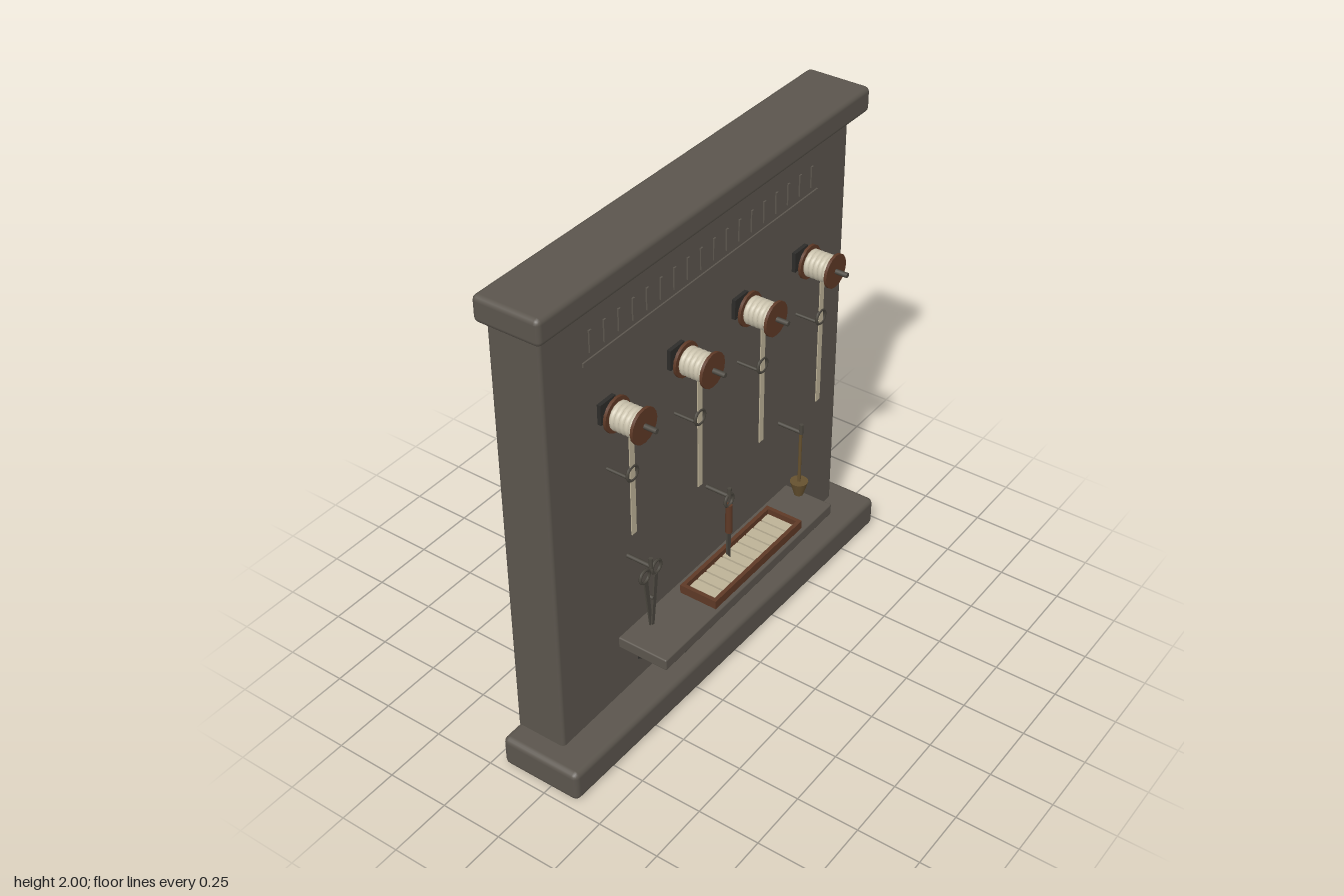
import * as THREE from 'three';
import { RoundedBoxGeometry } from 'three/addons/geometries/RoundedBoxGeometry.js';

const mat = (name, color, side = THREE.FrontSide) => {
  const m = new THREE.MeshStandardMaterial({ color, side });
  m.name = name;
  return m;
};

export function createModel() {
  const stone = mat('stone', 0x5b554d);
  const darkIron = mat('dark iron', 0x2d2c2a);
  const iron = mat('iron', 0x4a463e);
  const wood = mat('wood', 0x5e3926);
  const linen = mat('linen', 0xbdb297);
  const wool = mat('wool', 0xccc4ae);
  const bronze = mat('bronze', 0x66512f);

  const model = new THREE.Group();
  model.name = 'weaverWall';

  const add = (name, geo, material, parent = model, x = 0, y = 0, z = 0) => {
    const mesh = new THREE.Mesh(geo, material);
    mesh.name = name;
    mesh.position.set(x, y, z);
    parent.add(mesh);
    return mesh;
  };
  const group = (name, x, y, z = 0) => {
    const g = new THREE.Group();
    g.name = name;
    g.position.set(x, y, z);
    model.add(g);
    return g;
  };
  // boxes are given by their limits on each axis
  const box = (name, material, x0, x1, y0, y1, z0, z1, parent = model, round = 0) => {
    const s = [x1 - x0, y1 - y0, z1 - z0];
    const geo = round ? new RoundedBoxGeometry(...s, 2, round) : new THREE.BoxGeometry(...s);
    return add(name, geo, material, parent, (x0 + x1) / 2, (y0 + y1) / 2, (z0 + z1) / 2);
  };
  // straight rod along z or y
  const rodZ = (name, r, z0, z1, material, parent, x, y, sides = 8) =>
    add(name, new THREE.CylinderGeometry(r, r, z1 - z0, sides).rotateX(Math.PI / 2), material, parent, x, y, (z0 + z1) / 2);
  const rodY = (name, r, y0, y1, material, parent, x, z, sides = 8) =>
    add(name, new THREE.CylinderGeometry(r, r, y1 - y0, sides), material, parent, x, (y0 + y1) / 2, z);
  const plate = (points, depth) => new THREE.ExtrudeGeometry(
    new THREE.Shape(points.map(p => new THREE.Vector2(...p))), { depth, bevelEnabled: false });

  // stone slab, cap and slightly skewed plinth
  box('wall', stone, -0.88, 0.88, 0.12, 1.91, -0.21, 0, model, 0.015);
  box('cap', stone, -0.94, 0.935, 1.9, 2, -0.21, 0.055, model, 0.02);
  const plinth = box('plinth', stone, -0.97, 0.97, 0.005, 0.135, -0.21, 0.142, model, 0.024);
  const pos = plinth.geometry.attributes.position;
  for (let i = 0; i < pos.count; i++) {
    if (pos.getZ(i) > 0) pos.setZ(i, pos.getZ(i) + 0.015 * pos.getX(i));
  }
  plinth.geometry.computeBoundingSphere();

  // raised ornamental frieze of plain strokes over a long ledge
  box('friezeLedge', stone, -0.68, 0.68, 1.668, 1.684, -0.002, 0.006);
  for (let i = 0; i < 18; i++) {
    const x = -0.638 + i * 0.0752;
    box('friezeStroke', stone, x - 0.006, x + 0.006, 1.705, 1.79, -0.002, 0.006);
  }

  // four thread spools, each with a hanging strip and guide ring
  [-0.575, -0.193, 0.188, 0.57].forEach((x, i) => {
    const g = group('spool', x, 1.445);
    box('mount', darkIron, -0.04, 0.04, -0.04, 0.04, 0, 0.015, g);
    rodZ('axle', 0.01, 0, 0.213, iron, g, 0, 0);
    for (const z of [0.044, 0.153]) rodZ('flange', 0.067, z, z + 0.011, wood, g, 0, 0, 16);
    // wound thread with ridges
    const profile = [[0.02, 0]];
    const ridges = 5, width = 0.098;
    for (let k = 0; k < ridges; k++) {
      const z = k * width / ridges;
      profile.push([0.049, z], [0.054, z + 0.005], [0.054, z + 0.0146], [0.049, z + 0.0196]);
    }
    profile.push([0.02, width]);
    const thread = new THREE.LatheGeometry(profile.map(p => new THREE.Vector2(...p)), 16).rotateX(Math.PI / 2);
    add('woundThread', thread, wool, g, 0, 0, 0.055);

    const end = 0.97 - i * 0.04 - 1.445;
    box('hangingStrip', linen, -0.013, 0.013, end, -0.045, 0.105, 0.109, g);
    add('guideRing', new THREE.TorusGeometry(0.028, 0.006, 6, 16), iron, g, 0, -0.217, 0.107);
    rodZ('guidePeg', 0.006, 0, 0.107, iron, g, 0, -0.246);
  });

  // shelf with two tapering brackets
  box('shelf', stone, -0.545, 0.54, 0.362, 0.41, -0.005, 0.21, model, 0.006);
  for (const x of [-0.412, 0.404]) {
    // the wedge is drawn in z and y, then turned to face along x
    const wedge = plate([[0, 0.225], [0.2, 0.35], [0.2, 0.363], [0, 0.363]], 0.054)
      .rotateY(-Math.PI / 2);
    add('bracket', wedge, darkIron, model, x + 0.027, 0, 0);
  }

  // wooden tray with a row of pale tablets
  const tray = group('tray', 0.065, 0.41, 0.115);
  box('trayFloor', wood, -0.285, 0.285, 0, 0.01, -0.08, 0.08, tray);
  for (const s of [-1, 1]) {
    box('traySide', wood, s * 0.277 - 0.008, s * 0.277 + 0.008, 0, 0.036, -0.08, 0.08, tray);
    box('trayRail', wood, -0.27, 0.27, 0, 0.036, s * 0.072 - 0.008, s * 0.072 + 0.008, tray);
  }
  for (let i = 0; i < 10; i++) {
    const x = -0.234 + i * 0.052;
    box('tablet', linen, x - 0.022, x + 0.022, 0.01, 0.024, -0.057, 0.057, tray);
  }

  // hooks that carry the tools
  for (const x of [-0.48, -0.003, 0.472]) {
    const hook = group('hook', x, 0);
    rodZ('hookPeg', 0.008, 0, 0.105, iron, hook, 0, 0.753);
    rodY('hookTip', 0.008, 0.746, 0.79, iron, hook, 0, 0.102);
  }

  // shears: two rings and two slim blades
  const shears = group('shears', -0.48, 0, 0.1);
  for (const s of [-1, 1]) {
    add('shearsRing', new THREE.TorusGeometry(0.026, 0.006, 6, 16), iron, shears, s * 0.034, 0.728, 0);
    const pts = [[s * 0.036, 0.703], [s * 0.016, 0.703], [s * -0.006, 0.485], [s * 0.008, 0.48]];
    add('shearsBlade', plate(pts, 0.006), iron, shears, 0, 0, s * 0.003 - 0.003);
  }
  rodZ('shearsPivot', 0.007, -0.009, 0.01, iron, shears, 0, 0.61);

  // knife: ring, wooden grip and pointed blade
  const knife = group('knife', -0.003, 0, 0.1);
  add('knifeRing', new THREE.TorusGeometry(0.025, 0.006, 6, 16), iron, knife, 0, 0.735, 0);
  rodY('knifeGrip', 0.0135, 0.585, 0.713, wood, knife, 0, 0, 10);
  add('knifeBlade', plate([[-0.012, 0.587], [-0.012, 0.485], [0.007, 0.46], [0.012, 0.587]], 0.006),
    iron, knife, 0, 0, -0.003);

  // drop spindle: rod with a conical weight
  const spindle = group('dropSpindle', 0.472, 0, 0.1);
  rodY('spindleRod', 0.0065, 0.5, 0.765, bronze, spindle, 0, 0);
  add('spindleWeight', new THREE.CylinderGeometry(0.036, 0.018, 0.063, 14), bronze, spindle, 0, 0.487, 0);

  return model;
}
